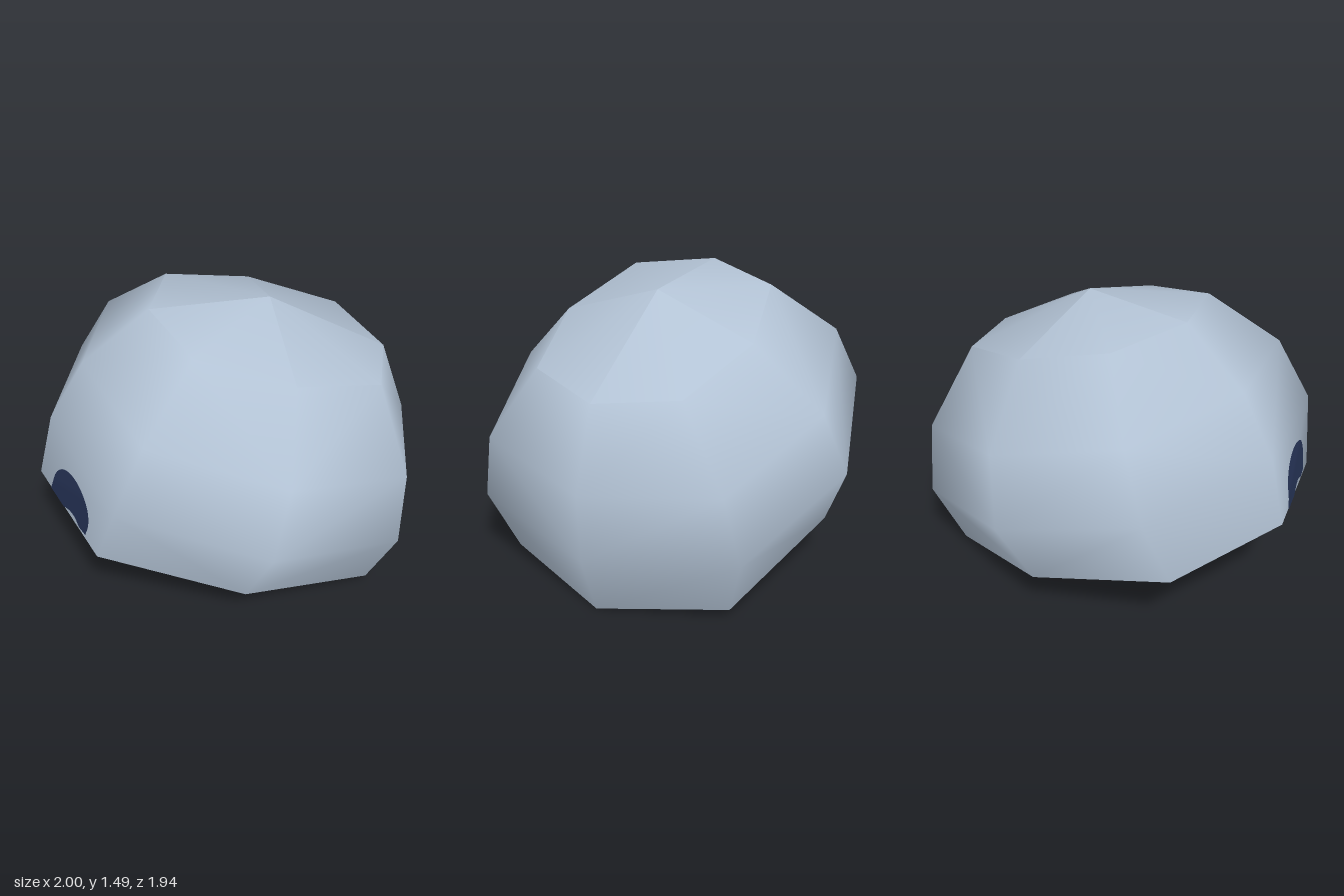
import * as THREE from 'three';

const V = (x, y, z) => new THREE.Vector3(x, y, z);

// Tilted eight-sided rings: radius along the tilt and radius across
const RINGS = [[0.973, 0.83], [0.99, 0.97], [0.9, 0.87], [0.645, 0.53]];
const COS8 = [1, 0.76, 0, -0.76, -1, -0.76, 0, 0.76];
const APEX = V(0.228, 1.49, 0);

function ringPoint(i, j) {
  const [rx, rz] = RINGS[i];
  const c = COS8[j % 8] * rx, s = COS8[(j + 6) % 8] * rz;
  return V(-0.067 + 0.101 * i + c * 0.958, 0.282 + 0.341 * i - c * 0.29, s);
}

function surface(points, index) {
  const g = new THREE.BufferGeometry().setFromPoints(points);
  g.setIndex(index);
  g.computeVertexNormals();
  return g;
}

// Smooth lower shell plus a crown of four panels that crease along their seams
function domeGeometries() {
  const points = [], body = [], cap = [];
  for (let i = 0; i < 4; i++) for (let j = 0; j < 8; j++) points.push(ringPoint(i, j));
  points.push(APEX);
  for (let j = 0; j < 8; j++) {
    const k = (j + 1) % 8;
    for (let i = 0; i < 3; i++) {
      const a = i * 8 + j, b = i * 8 + k, c = a + 8, d = b + 8;
      if (j % 2 === 0) body.push(a, c, d, a, d, b);
      else body.push(a, c, b, b, c, d);
    }
    cap.push(24 + j, 32, 24 + k);
  }
  const shell = surface(points, [...body, ...cap]);
  shell.setIndex(body);

  const normals = shell.attributes.normal;
  const panels = [];
  for (let q = 0; q < 4; q++) {
    const ids = [0, 1, 2].map((n) => 24 + ((2 * q + n) % 8));
    const g = surface([...ids.map((n) => points[n]), APEX], [0, 3, 1, 1, 3, 2]);
    const own = g.attributes.normal;
    ids.forEach((id, n) => {
      const v = V().fromBufferAttribute(own, n);
      v.add(V().fromBufferAttribute(normals, id)).normalize();
      own.setXYZ(n, v.x, v.y, v.z);
    });
    panels.push(g);
  }
  return { shell, panels };
}

// Arched dark patch laid on one face beside the low-side rim
function patchGeometry(offset) {
  const A = ringPoint(0, 4), B = ringPoint(0, 3), C = ringPoint(1, 4), D = ringPoint(1, 3);
  const out = B.clone().sub(A).cross(C.clone().sub(A)).normalize().multiplyScalar(offset);
  const onFace = (u, v) => {
    const p = A.clone().add(out);
    return u >= v
      ? p.addScaledVector(B, u).addScaledVector(A, -u).addScaledVector(D, v).addScaledVector(B, -v)
      : p.addScaledVector(C, v).addScaledVector(A, -v).addScaledVector(D, u).addScaledVector(C, -u);
  };
  const cols = 28, rows = 12, points = [], index = [];
  for (let i = 0; i <= cols; i++) {
    const t = -Math.cos((i / cols) * Math.PI);
    const u = 0.5 + 0.295 * t;
    const top = 0.2 + 0.5 * Math.sqrt(Math.max(0, 1 - t * t));
    const notch = Math.max(0, 1 - ((u - 0.58) / 0.15) ** 2) * 0.11;
    const low = Math.max(notch, t > 0 ? 0.08 * t : 0.01);
    for (let j = 0; j <= rows; j++) points.push(onFace(u, low + ((top - low) * j) / rows));
  }
  for (let i = 0; i < cols; i++) {
    for (let j = 0; j < rows; j++) {
      const a = i * (rows + 1) + j, b = a + rows + 1;
      index.push(a, b, b + 1, a, b + 1, a + 1);
    }
  }
  return surface(points, index);
}

export function createModel() {
  const model = new THREE.Group();
  model.name = 'tiltedDome';
  const shellMaterial = new THREE.MeshStandardMaterial({ color: 0xb3c3d5, side: THREE.DoubleSide });
  shellMaterial.name = 'paleBlueGrey';
  const patchMaterial = new THREE.MeshStandardMaterial({ color: 0x263356, side: THREE.DoubleSide });
  patchMaterial.name = 'darkNavy';

  const add = (name, geometry, material) => {
    const mesh = new THREE.Mesh(geometry, material);
    mesh.name = name;
    model.add(mesh);
  };

  const { shell, panels } = domeGeometries();
  add('domeShell', shell, shellMaterial);
  panels.forEach((g, i) => add('crownPanel' + (i + 1), g, shellMaterial));
  add('outerPatch', patchGeometry(0.005), patchMaterial);
  add('innerPatch', patchGeometry(-0.005), patchMaterial);
  return model;
}
